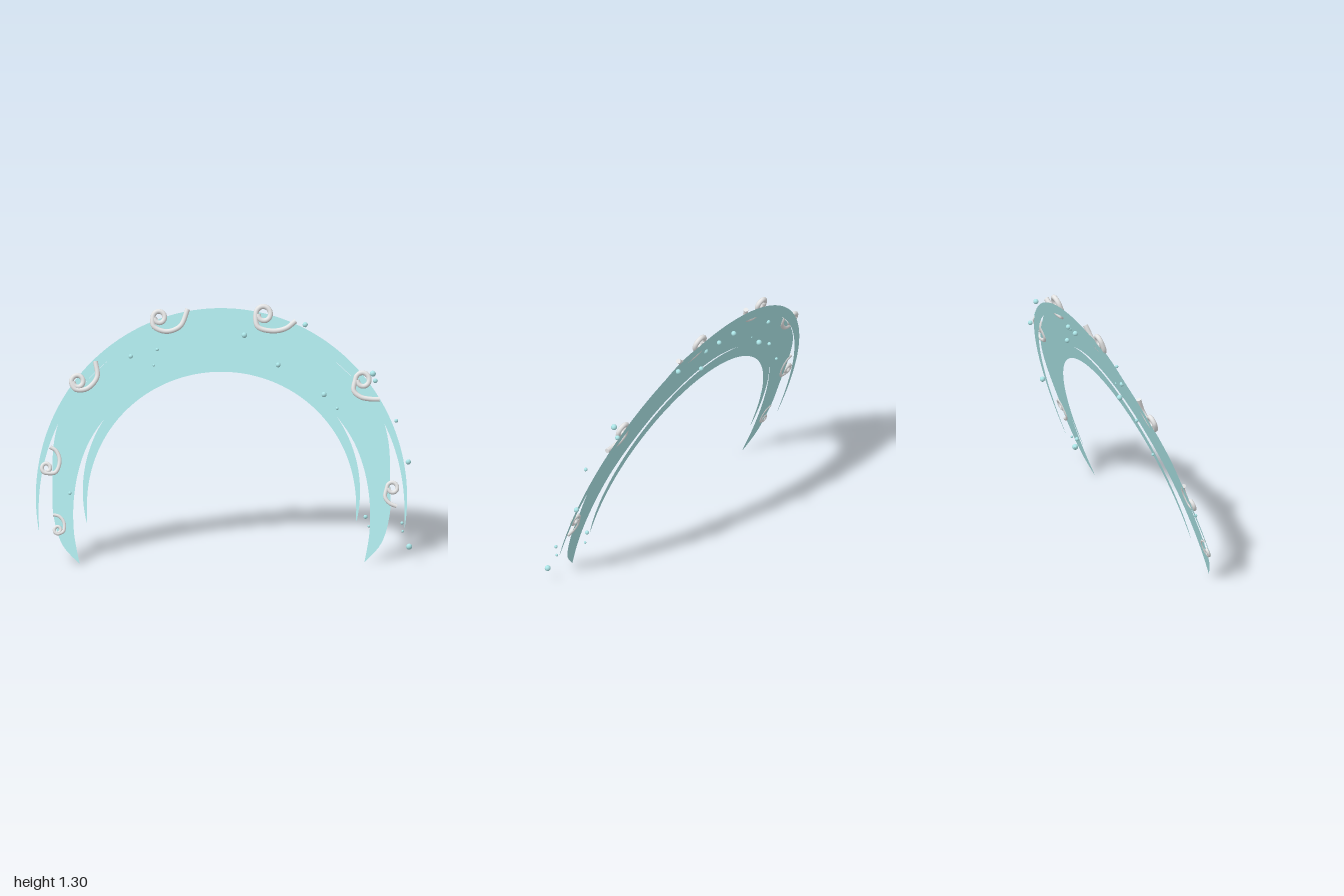
import * as THREE from 'three';

const AXIS = -0.013; // x of the crescents' mirror axis
const planeZ = (y, offset = 0) => 0.246 - 0.364 * y + offset;

export function createModel() {
  const group = new THREE.Group();
  const water = new THREE.MeshStandardMaterial({ color: 0xaee8ea, side: THREE.DoubleSide });
  const silver = new THREE.MeshStandardMaterial({ color: 0xe6e6e6 });
  water.name = 'paleAqua';
  silver.name = 'silver';

  const add = (name, geometry, material) => {
    const mesh = new THREE.Mesh(geometry, material);
    mesh.name = name;
    group.add(mesh);
    return mesh;
  };

  // Flat outline laid into the backward leaning plane
  const sheet = (name, points, offset) => {
    const geometry = new THREE.ShapeGeometry(new THREE.Shape(points));
    const p = geometry.attributes.position;
    for (let i = 0; i < p.count; i++) {
      p.setXYZ(i, p.getX(i) + AXIS, p.getY(i), planeZ(p.getY(i), offset));
    }
    geometry.computeVertexNormals();
    add(name, geometry, water);
  };

  // Smooth edge through half a profile (top centre to tip), mirrored to both sides
  const mirroredEdge = (half) => {
    const all = [
      ...half.slice(1).reverse().map(([x, y]) => new THREE.Vector2(-x, y)),
      ...half.map(([x, y]) => new THREE.Vector2(x, y)),
    ];
    return new THREE.SplineCurve(all).getPoints(160);
  };

  // Wide middle crescent with a wavy outer edge
  const outerEdge = mirroredEdge([
    [0, 1.237], [0.15, 1.236], [0.29, 1.22], [0.4, 1.18], [0.5, 1.11], [0.6, 1.02], [0.7, 0.93],
    [0.79, 0.835], [0.86, 0.72], [0.893, 0.58], [0.897, 0.4], [0.895, 0.25], [0.85, 0.1], [0.757, 0],
  ]);
  const innerEdge = mirroredEdge([
    [0, 1.03], [0.2, 1.002], [0.4, 0.92], [0.55, 0.805], [0.68, 0.65],
    [0.75, 0.5], [0.785, 0.33], [0.786, 0.16], [0.757, 0],
  ]);
  sheet('middleCrescent', [...outerEdge, ...innerEdge.reverse().slice(1, -1)], 0);

  // Thin elliptical crescents that taper to points
  const thinCrescent = (name, cy, rx, ry, tipAngle, thickness) => {
    const outer = [], inner = [];
    const n = 120;
    for (let i = 0; i <= n; i++) {
      const a = -tipAngle + (i / n) * (Math.PI + 2 * tipAngle);
      const t = thickness * Math.max(0, Math.sin((Math.PI * i) / n)) ** 0.7;
      outer.push(new THREE.Vector2(rx * Math.cos(a), cy + ry * Math.sin(a)));
      inner.push(new THREE.Vector2((rx - t) * Math.cos(a), cy + (ry - t) * Math.sin(a)));
    }
    sheet(name, [...outer, ...inner.reverse().slice(1, -1)], -0.013);
  };
  thinCrescent('outerCrescent', 0.33, 0.987, 0.95, 0.172, 0.062);
  thinCrescent('innerCrescent', 0.36, 0.737, 0.677, 0.24, 0.077);

  // Curled tubes: a small spiral, ending at endAngle, that runs into a sweeping tail
  const swirl = (cx, cy, r, endAngle, tube, tail) => {
    const pts = [];
    for (let i = 0; i <= 12; i++) {
      const a = endAngle - (1 - i / 12) * Math.PI * 2;
      const rad = r * (0.7 + 0.3 * (i / 12));
      pts.push([cx + rad * Math.cos(a), cy + rad * Math.sin(a)]);
    }
    pts.push(...tail);
    const path = new THREE.CatmullRomCurve3(
      pts.map(([x, y]) => new THREE.Vector3(x, y, planeZ(y, 0.005))));
    const mesh = add('swirl', new THREE.TubeGeometry(path, 80, tube, 10), silver);
    // Closed tube ends
    for (const t of [0, 1]) {
      const cap = new THREE.Mesh(new THREE.CircleGeometry(tube, 10), silver);
      cap.name = 'swirlEnd';
      cap.position.copy(path.getPoint(t));
      const dir = path.getTangent(t).multiplyScalar(t ? 1 : -1);
      cap.quaternion.setFromUnitVectors(new THREE.Vector3(0, 0, 1), dir);
      mesh.add(cap);
    }
  };
  const L = Math.PI, B = Math.PI * 1.5;
  swirl(-0.337, 1.238, 0.034, L, 0.013, [[-0.367, 1.195], [-0.3, 1.168], [-0.225, 1.195], [-0.185, 1.28]]);
  swirl(0.219, 1.252, 0.042, L, 0.0135, [[0.187, 1.19], [0.262, 1.168], [0.335, 1.18], [0.388, 1.217]]);
  swirl(-0.773, 0.918, 0.034, L, 0.013, [[-0.785, 0.88], [-0.725, 0.882], [-0.67, 0.94], [-0.678, 1.02]]);
  swirl(0.743, 0.918, 0.04, L, 0.013, [[0.695, 0.865], [0.73, 0.834], [0.78, 0.823], [0.832, 0.821]]);
  swirl(-0.943, 0.485, 0.026, B, 0.0105, [[-0.895, 0.463], [-0.872, 0.52], [-0.89, 0.57], [-0.922, 0.59]]);
  swirl(-0.885, 0.173, 0.02, B, 0.0085, [[-0.855, 0.166], [-0.852, 0.21], [-0.875, 0.24], [-0.908, 0.25]]);
  swirl(0.896, 0.375, 0.03, L, 0.0105, [[0.857, 0.33], [0.878, 0.3], [0.918, 0.282]]);

  // Droplets: x, y, z, radius
  const drops = [
    [0.115, 1.147, -0.169, 0.015], [-0.49, 1.042, -0.136, 0.012], [-0.35, 1.086, -0.105, 0.009],
    [-0.367, 0.998, -0.115, 0.007], [0.293, 1.002, -0.09, 0.013], [0.536, 0.85, -0.044, 0.014],
    [0.604, 0.785, 0.005, 0.008], [-0.82, 0.364, 0.148, 0.009], [0.796, 0.957, -0.068, 0.016],
    [0.81, 0.91, -0.102, 0.013], [0.44, 1.188, -0.23, 0.014], [0.918, 0.722, 0.029, 0.01],
    [0.982, 0.5, 0.043, 0.014], [0.752, 0.225, 0.143, 0.011], [0.945, 0.205, 0.206, 0.009],
    [0.77, 0.173, 0.142, 0.007], [0.948, 0.158, 0.198, 0.007], [0.982, 0.082, 0.233, 0.016],
    [0.05, 1.183, -0.212, 0.013], [-0.067, 1.19, -0.222, 0.014], [0.157, 1.06, -0.172, 0.013],
    [-0.428, 0.94, -0.122, 0.015], [-0.57, 0.855, -0.085, 0.01], [-0.69, 0.697, -0.043, 0.008],
  ];
  const ball = new THREE.SphereGeometry(1, 16, 12);
  for (const [x, y, z, r] of drops) {
    const drop = add('droplet', ball, water);
    drop.position.set(x, y, z);
    drop.scale.setScalar(r);
  }
  return group;
}
